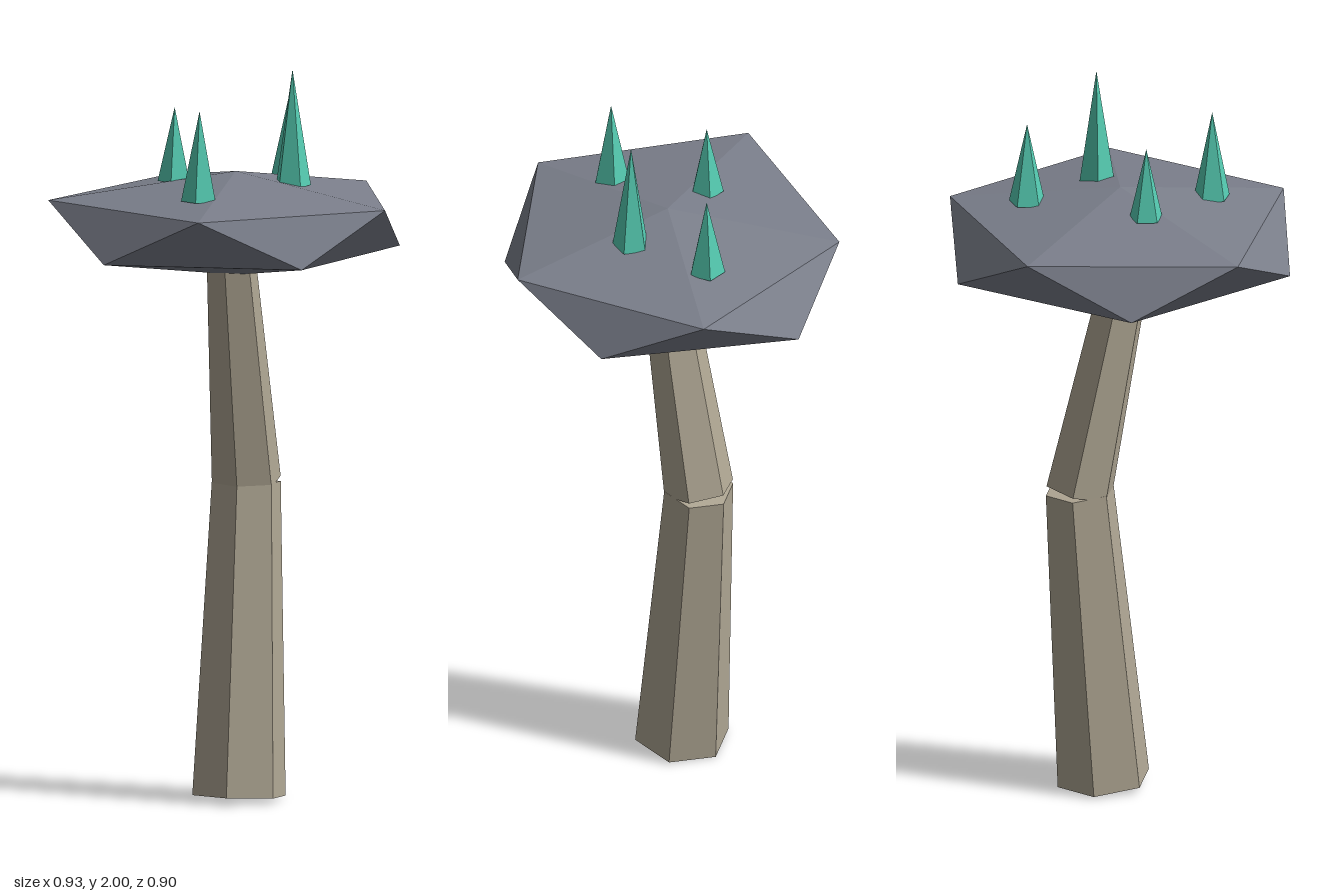
import * as THREE from 'three';

const V = (x, y, z) => new THREE.Vector3(x, y, z);

function paint(name, color) {
  const m = new THREE.MeshStandardMaterial({ color });
  m.name = name;
  m.flatShading = true;
  return m;
}

// Tapered hexagonal log running from point a to point b
function trunkSegment(name, a, b, ra, rb, material) {
  const axis = b.clone().sub(a);
  const geo = new THREE.CylinderGeometry(rb, ra, axis.length(), 6, 1, false, THREE.MathUtils.degToRad(15));
  const mesh = new THREE.Mesh(geo, material);
  mesh.name = name;
  mesh.position.copy(a).add(b).multiplyScalar(0.5);
  mesh.quaternion.setFromUnitVectors(V(0, 1, 0), axis.normalize());
  return mesh;
}

// Faceted boulder: two poles and two staggered rings of five points
function canopyGeometry() {
  const upper = [[0.46, 0], [0.14, -0.45], [-0.38, -0.275], [-0.42, 0.29], [0.14, 0.45]].map(([x, z]) => V(x, 1.647, z));
  const lower = [[0.352, -0.265], [-0.155, -0.448], [-0.465, 0], [-0.155, 0.448], [0.352, 0.26]].map(([x, z]) => V(x, 1.51, z));
  const top = V(-0.005, 1.72, 0), bottom = V(-0.005, 1.438, 0);
  const points = [];
  for (let i = 0; i < 5; i++) {
    const j = (i + 1) % 5;
    points.push(
      top, upper[i], upper[j],
      upper[i], lower[i], upper[j],
      lower[i], lower[j], upper[j],
      bottom, lower[j], lower[i]
    );
  }
  const geo = new THREE.BufferGeometry().setFromPoints(points);
  geo.computeVertexNormals();
  return geo;
}

// Five-sided spike; angle turns its first corner from +x towards +z
function crystal(x, z, base, tip, radius, angle, material) {
  const start = Math.PI / 2 - THREE.MathUtils.degToRad(angle);
  const mesh = new THREE.Mesh(new THREE.ConeGeometry(radius, tip - base, 5, 1, false, start), material);
  mesh.name = 'crystal';
  mesh.position.set(x, (tip + base) / 2, z);
  return mesh;
}

export function createModel() {
  const model = new THREE.Group();
  model.name = 'crystalTree';
  const bark = paint('pale bark', 0xb0a794);
  const stone = paint('grey stone', 0x7b7f8b);
  const teal = paint('teal crystal', 0x56cdb3);

  // Trunk, bent at the middle
  model.add(
    trunkSegment('lowerTrunk', V(-0.022, 0.014, -0.047), V(-0.037, 0.86, -0.112), 0.13, 0.096, bark),
    trunkSegment('upperTrunk', V(-0.037, 0.86, -0.112), V(-0.009, 1.5, 0.02), 0.096, 0.067, bark)
  );

  // Stone canopy
  const canopy = new THREE.Mesh(canopyGeometry(), stone);
  canopy.name = 'canopy';
  model.add(canopy);

  // Crystals standing on the canopy
  const crystals = new THREE.Group();
  crystals.name = 'crystals';
  [
    [0.017, -0.25, 1.675, 1.9, 0.05, 0],
    [0.14, -0.055, 1.685, 2.0, 0.05, 34],
    [-0.16, 0.06, 1.69, 1.89, 0.046, 0],
    [0.028, 0.25, 1.673, 1.917, 0.05, 0],
  ].forEach((c) => crystals.add(crystal(...c, teal)));
  model.add(crystals);

  return model;
}
